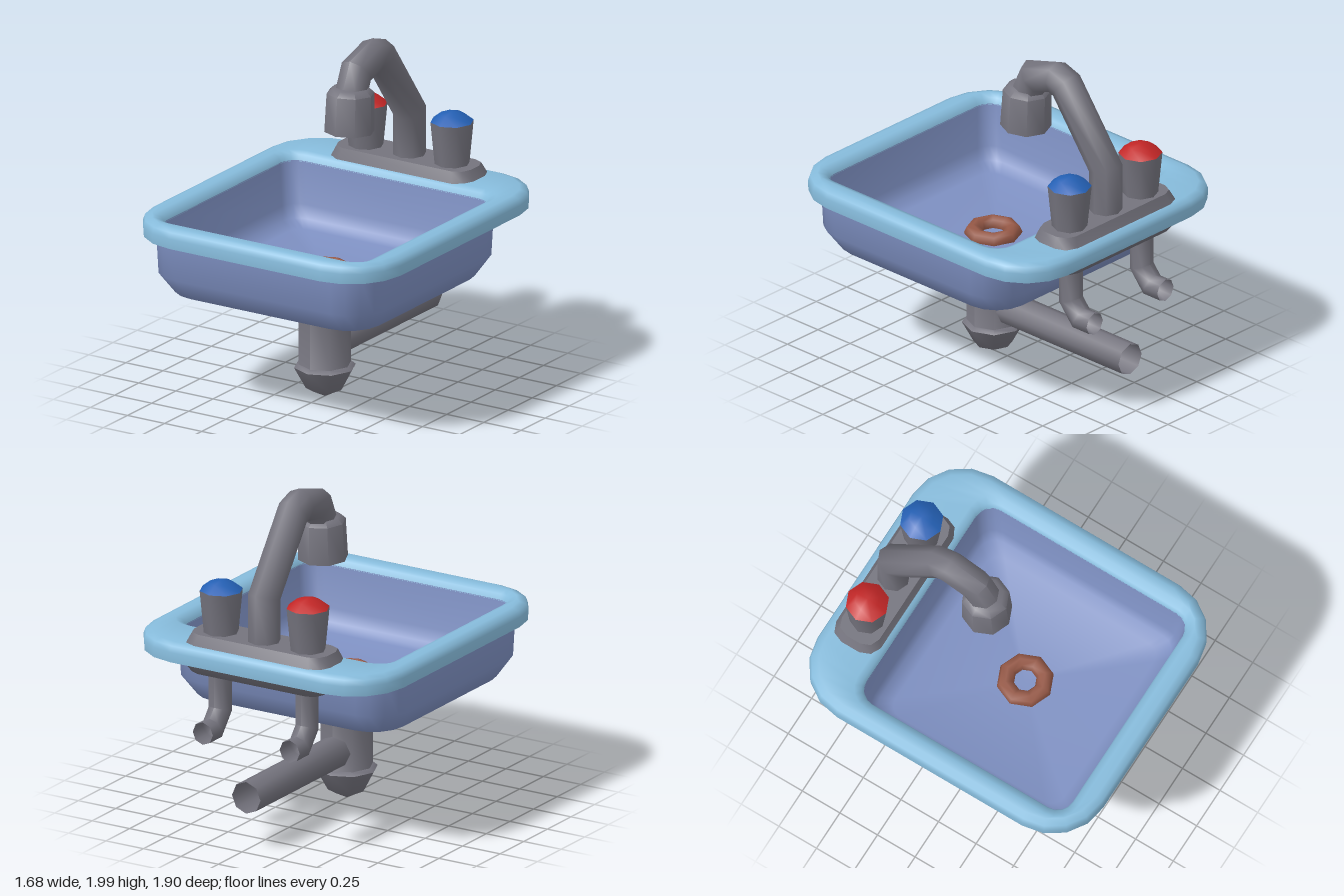
import * as THREE from 'three';
import { toCreasedNormals } from 'three/addons/utils/BufferGeometryUtils.js';

const mat = (name, color, side = THREE.FrontSide) => {
  const m = new THREE.MeshStandardMaterial({ color, side });
  m.name = name;
  return m;
};

// Closed rings of points joined into a smooth skin with sharp edges kept
function skin(rings) {
  const n = rings[0].length, index = [];
  for (let j = 0; j < rings.length - 1; j++) {
    for (let i = 0; i < n; i++) {
      const a = j * n + i, b = j * n + (i + 1) % n;
      index.push(a, a + n, b + n, a, b + n, b);
    }
  }
  const g = new THREE.BufferGeometry();
  g.setAttribute('position', new THREE.Float32BufferAttribute(rings.flat(2), 3));
  g.setIndex(index);
  return toCreasedNormals(g, 1.0);
}

// Horizontal rounded rectangle
function roundRect(y, hx, hz, r, cz, seg) {
  const pts = [];
  for (let q = 0; q < 4; q++) {
    const sx = q === 0 || q === 3 ? 1 : -1, sz = q < 2 ? 1 : -1;
    for (let i = 0; i <= seg; i++) {
      const a = (q + i / seg) * Math.PI / 2;
      pts.push([sx * (hx - r) + Math.cos(a) * r, y, cz + sz * (hz - r) + Math.sin(a) * r]);
    }
  }
  return pts;
}
const loft = (rows, seg = 4) => skin(rows.map(([y, hx, hz, r, cz]) => roundRect(y, hx, hz, r, cz, seg)));

// Mitred pipe through [y, z] points at a fixed x
function pipe(x, path, r, sides = 8) {
  const dirs = path.slice(1).map((p, i) => new THREE.Vector2(p[0] - path[i][0], p[1] - path[i][1]).normalize());
  return skin(path.map(([y, z], k) => {
    const d0 = dirs[Math.max(k - 1, 0)], d1 = dirs[Math.min(k, dirs.length - 1)];
    const t = d0.clone().add(d1).normalize(), m = r / t.dot(d1);
    return Array.from({ length: sides }, (_, i) => {
      const a = i / sides * Math.PI * 2, s = Math.sin(a) * m;
      return [x + Math.cos(a) * r, y - t.y * s, z + t.x * s];
    });
  }));
}

// Turned part from [radius, y] points, bottom to top
const turned = (pts) =>
  toCreasedNormals(new THREE.LatheGeometry(pts.map(p => new THREE.Vector2(...p)), 8), 0.9);

export function createModel() {
  const group = new THREE.Group();
  const metal = mat('grey metal', 0x74737d, THREE.DoubleSide);
  const rimBlue = mat('light blue rim', 0x86bbdb);
  const basinBlue = mat('periwinkle basin', 0x7e90c2);
  const copper = mat('copper', 0x955846);
  const red = mat('red', 0xc22626);
  const blue = mat('blue', 0x2460b4);
  const add = (name, geo, material, x = 0, y = 0, z = 0) => {
    const mesh = new THREE.Mesh(geo, material);
    mesh.name = name;
    mesh.position.set(x, y, z);
    group.add(mesh);
    return mesh;
  };

  // Counter rim: underside, outer edge, top, inner lip
  add('rim', loft([
    [1.03, 0.70, 0.70, 0.12, 0.11],
    [1.03, 0.837, 0.947, 0.33, -0.005],
    [1.09, 0.84, 0.95, 0.33, -0.005],
    [1.125, 0.828, 0.938, 0.32, -0.005],
    [1.14, 0.79, 0.90, 0.29, -0.005],
    [1.14, 0.74, 0.735, 0.14, 0.105],
    [1.125, 0.70, 0.70, 0.11, 0.105],
    [1.09, 0.685, 0.685, 0.1, 0.105],
  ]), rimBlue);

  // Basin: inner bowl and outer shell
  add('basinInside', loft([
    [1.095, 0.686, 0.686, 0.1, 0.105],
    [0.85, 0.655, 0.655, 0.1, 0.105],
    [0.775, 0.63, 0.63, 0.1, 0.105],
    [0.74, 0.56, 0.56, 0.08, 0.105],
    [0.74, 0.001, 0.001, 0.0005, 0.105],
  ]), basinBlue);
  add('basinShell', loft([
    [0.635, 0.001, 0.001, 0.0005, 0.11],
    [0.635, 0.53, 0.53, 0.14, 0.11],
    [0.69, 0.67, 0.67, 0.2, 0.11],
    [0.81, 0.743, 0.743, 0.22, 0.11],
    [1.035, 0.752, 0.752, 0.22, 0.11],
  ]), basinBlue);

  // Drain ring, trap and waste pipe
  add('drainRing', new THREE.TorusGeometry(0.115, 0.05, 8, 8).rotateX(-Math.PI / 2), copper, 0, 0.75, 0.11);
  add('drainTrap', turned([[0, 0.005], [0.11, 0.06], [0.178, 0.185], [0.155, 0.205], [0.152, 0.205], [0.152, 0.64]]),
    metal, 0, 0, 0.11);
  add('wastePipe', pipe(0, [[0.315, 0], [0.315, -0.955]], 0.095), metal);

  // Tap mounting plates above and below the rim
  add('tapPlate', loft([
    [1.135, 0.476, 0.15, 0.09, -0.76],
    [1.2, 0.445, 0.125, 0.08, -0.757],
    [1.2, 0.001, 0.001, 0.0005, -0.757],
  ], 2), metal);
  add('lowerPlate', loft([
    [0.97, 0.001, 0.001, 0.0005, -0.8],
    [0.97, 0.43, 0.095, 0.07, -0.8],
    [1.035, 0.476, 0.15, 0.09, -0.79],
  ], 2), metal);

  // Spout and its head
  add('spout', pipe(0, [
    [1.19, -0.765], [1.46, -0.765], [1.875, -0.46], [1.9, -0.385], [1.85, -0.215], [1.74, -0.165],
  ], 0.094), metal);
  const head = add('spoutHead', turned([[0, 0], [0.145, 0], [0.138, 0.225], [0.105, 0.255], [0, 0.255]]),
    metal, 0, 1.515, -0.143);
  head.rotation.x = -0.05;

  // Handles with coloured caps, and supply pipes below
  for (const [side, s, color] of [['right', -1, red], ['left', 1, blue]]) {
    const x = s * 0.29;
    add(side + 'Handle', turned([[0.1, 1.19], [0.125, 1.45], [0, 1.45]]), metal, x, 0, -0.76);
    add(side + 'HandleCap', turned([[0.125, 1.45], [0.07, 1.493], [0, 1.51]]), color, x, 0, -0.76);
    add(side + 'SupplyPipe', pipe(x, [[0.99, -0.77], [0.74, -0.77], [0.645, -0.85], [0.645, -0.955]], 0.067), metal);
  }
  return group;
}
